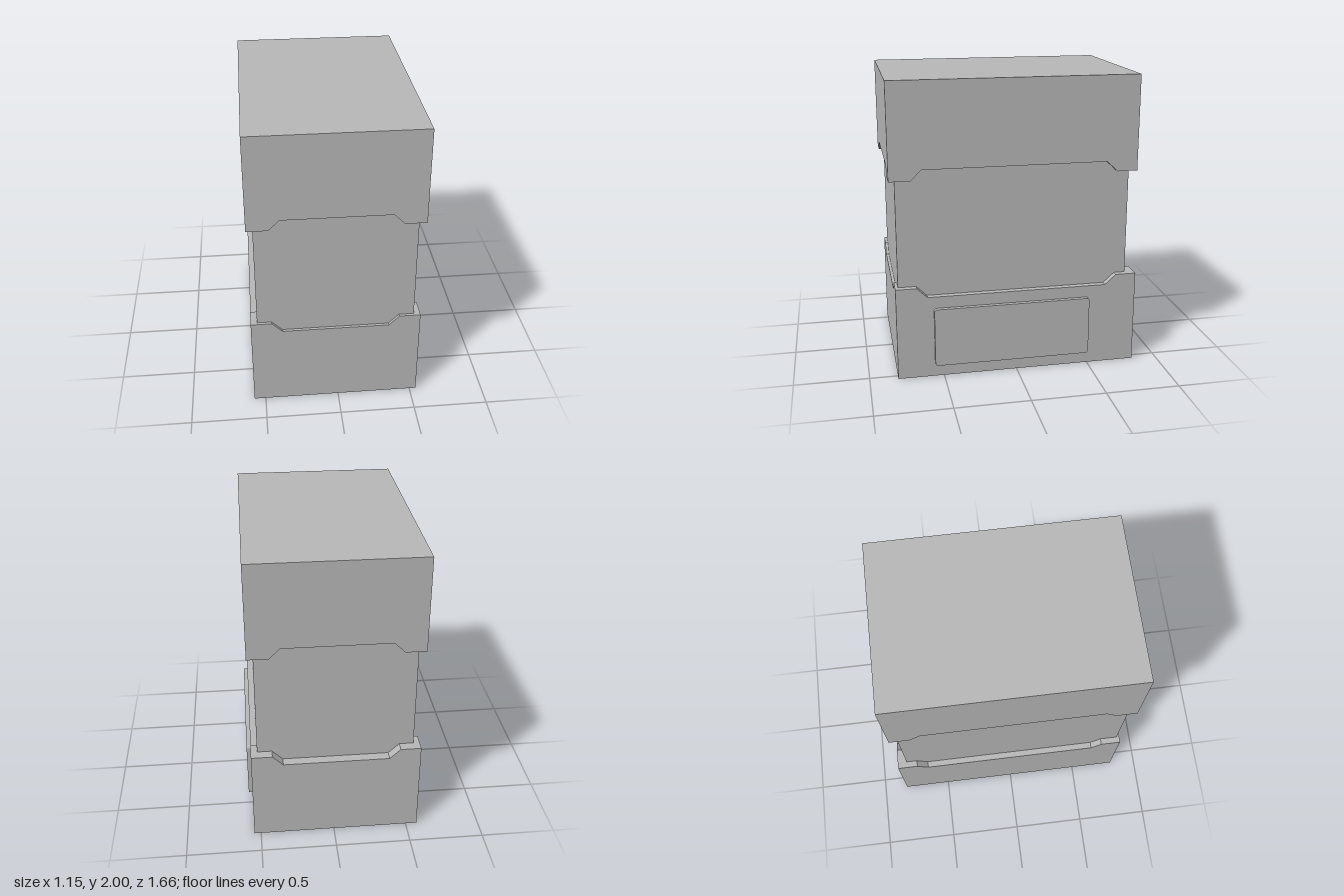
import * as THREE from 'three';

// Closed box end whose rim fits round the core, with a sloped notch along each side.
// x and z list: outer edge, notch start, notch floor, notch floor, notch end, outer edge.
function capGeometry(x, z, capY, rimY, notchY, core) {
  const loop = [];
  const side = (pointAt, steps) => steps.forEach((v, i) => {
    const [px, pz] = pointAt(v);
    loop.push([px, pz, i === 2 || i === 3 ? notchY : rimY]);
  });
  const forward = (a) => a.slice(0, 5);
  const backward = (a) => [...a].reverse().slice(0, 5);
  side((v) => [v, z[5]], forward(x));   // front
  side((v) => [x[5], v], backward(z));  // left
  side((v) => [v, z[0]], backward(x));  // back
  side((v) => [x[0], v], forward(z));   // right

  const pos = [];
  const up = capY > rimY;
  const tri = (a, b, c) => pos.push(...a, ...(up ? b : c), ...(up ? c : b));
  const quad = (a, b, c, d) => { tri(a, b, c); tri(a, c, d); };
  const outer = ([px, pz, y]) => [px, y, pz];
  const top = ([px, pz]) => [px, capY, pz];
  const inner = ([px, pz, y]) => [
    THREE.MathUtils.clamp(px, core.x[0], core.x[1]), y,
    THREE.MathUtils.clamp(pz, core.z[0], core.z[1])];
  const centre = [(x[0] + x[5]) / 2, capY, (z[0] + z[5]) / 2];

  loop.forEach((a, i) => {
    const b = loop[(i + 1) % loop.length];
    quad(outer(a), outer(b), top(b), top(a));      // wall
    quad(outer(a), inner(a), inner(b), outer(b));  // rim
    tri(centre, top(a), top(b));                   // flat end
  });
  const g = new THREE.BufferGeometry();
  g.setAttribute('position', new THREE.Float32BufferAttribute(pos, 3));
  g.computeVertexNormals();
  return g;
}

// Thin plate with rounded corners, lying in the z-y plane and facing +x
function plateGeometry(width, height, depth, r) {
  const w = width / 2, h = height / 2;
  const s = new THREE.Shape();
  s.moveTo(-w + r, -h);
  s.lineTo(w - r, -h).absarc(w - r, -h + r, r, -Math.PI / 2, 0, false);
  s.lineTo(w, h - r).absarc(w - r, h - r, r, 0, Math.PI / 2, false);
  s.lineTo(-w + r, h).absarc(-w + r, h - r, r, Math.PI / 2, Math.PI, false);
  s.lineTo(-w, -h + r).absarc(-w + r, -h + r, r, Math.PI, Math.PI * 1.5, false);
  return new THREE.ExtrudeGeometry(s, { depth, bevelEnabled: false, curveSegments: 4 })
    .rotateY(Math.PI / 2);
}

export function createModel() {
  const group = new THREE.Group();
  const grey = new THREE.MeshStandardMaterial({ color: 0xb8b8b8 });
  grey.name = 'plain grey';
  const add = (name, geometry, x = 0, y = 0, z = 0) => {
    const mesh = new THREE.Mesh(geometry, grey);
    mesh.name = name;
    mesh.position.set(x, y, z);
    group.add(mesh);
  };

  const core = { x: [-0.535, 0.503], z: [-0.765, 0.79] };
  const xs = [-0.577, -0.44, -0.368, 0.335, 0.405, 0.545];

  // Inner block joining the two ends
  add('core',
    new THREE.BoxGeometry(core.x[1] - core.x[0], 1.8, core.z[1] - core.z[0]),
    (core.x[0] + core.x[1]) / 2, 1, (core.z[0] + core.z[1]) / 2);

  // Upper and lower ends with notched rims
  add('lid', capGeometry(xs, [-0.81, -0.675, -0.6, 0.62, 0.69, 0.83], 2, 1.364, 1.433, core));
  add('base', capGeometry(xs, [-0.83, -0.69, -0.615, 0.6, 0.67, 0.81], 0, 0.638, 0.57, core));

  // Raised panel on the side of the base
  add('sidePanel', plateGeometry(1.06, 0.405, 0.028, 0.018), 0.545, 0.287, 0.03);

  return group;
}
